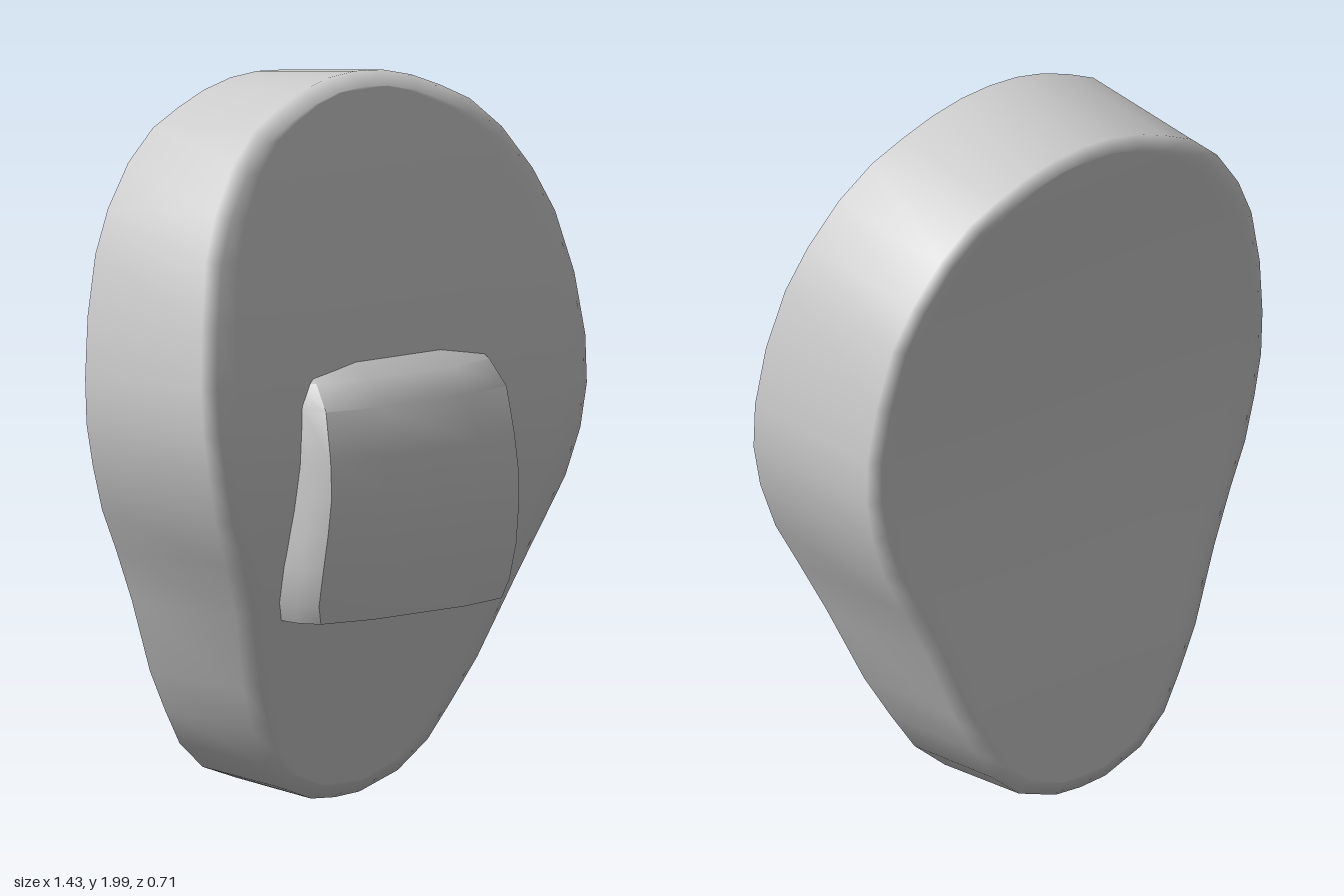
import * as THREE from 'three';
import { mergeVertices, toCreasedNormals } from 'three/addons/utils/BufferGeometryUtils.js';

// Piecewise linear lookup in [key, value] pairs with rising keys
function lookup(table, k) {
  if (k <= table[0][0]) return table[0][1];
  for (let i = 1; i < table.length; i++) {
    const [k0, v0] = table[i - 1], [k1, v1] = table[i];
    if (k <= k1) return v0 + (v1 - v0) * (k - k0) / (k1 - k0);
  }
  return table[table.length - 1][1];
}

// Skin closed cross-sections listed from top to bottom
function loft(rows) {
  const n = rows[0].length, index = [];
  for (let i = 0; i < rows.length - 1; i++) {
    for (let j = 0; j < n; j++) {
      const a = i * n + j, b = i * n + (j + 1) % n;
      index.push(a, b, a + n, b, b + n, a + n);
    }
  }
  const g = new THREE.BufferGeometry();
  g.setAttribute('position', new THREE.Float32BufferAttribute(rows.flat(2), 3));
  g.setIndex(index);
  const merged = mergeVertices(g, 1e-4);
  merged.computeVertexNormals();
  return merged;
}

// Egg-shaped slab, bowed forward, with bevelled front and back rims
function bodyGeometry() {
  const half = [
    [0, 2], [0.1, 1.993], [0.2, 1.97], [0.3, 1.932], [0.4, 1.885], [0.5, 1.8], [0.59, 1.68],
    [0.65, 1.56], [0.693, 1.39], [0.715, 1.22], [0.713, 1.09], [0.69, 0.97], [0.65, 0.84],
    [0.59, 0.72], [0.52, 0.57], [0.435, 0.355], [0.37, 0.235], [0.31, 0.135], [0.22, 0.058],
    [0.09, 0.012], [0, 0.006],
  ];
  const front = [
    [0, -0.015], [0.2, 0.042], [0.4, 0.1], [0.6, 0.155], [0.8, 0.2], [0.95, 0.222], [1.05, 0.226],
    [1.2, 0.218], [1.4, 0.195], [1.6, 0.158], [1.8, 0.115], [2, 0.068],
  ];
  const back = [
    [0, -0.345], [0.3, -0.325], [0.6, -0.3], [0.8, -0.282], [1, -0.273], [1.2, -0.278],
    [1.5, -0.303], [1.8, -0.34], [2, -0.362],
  ];
  const spread = [1, 0.9, 0.45, 0, -0.45, -0.9, -1];
  const last = half.length - 1, bevel = 0.04;
  const taper = (y) => 0.024 + 0.966 * y;

  return loft(half.map(([x, y], i) => {
    const p = half[Math.max(i - 1, 0)], q = half[Math.min(i + 1, last)];
    let nx = p[1] - q[1], ny = q[0] - p[0];
    if (i === 0 || i === last) { nx = 0; ny = i ? -1 : 1; }
    const len = Math.hypot(nx, ny);
    const ix = Math.max(x - bevel * nx / len, 0), iy = y - bevel * ny / len;
    const zf = lookup(front, iy), zb = lookup(back, taper(iy));
    const rimF = lookup(front, y) - 0.022, rimB = lookup(back, taper(y)) + 0.018;
    return [
      [x, y, rimF],
      ...spread.map((s) => [s * ix, iy, zf]),
      [-x, y, rimF],
      [-x, taper(y), rimB],
      ...spread.map((s) => [-s * ix, taper(iy), zb]),
      [x, taper(y), rimB],
    ];
  }));
}

// Raised pad on the lower front: [y, front z, half width]
function padGeometry() {
  const profile = [
    [1.25, 0.2, 0.33], [1.2, 0.268, 0.35], [1.13, 0.32, 0.365], [1, 0.345, 0.372],
    [0.9, 0.355, 0.378], [0.8, 0.348, 0.385], [0.7, 0.334, 0.39], [0.6, 0.312, 0.385],
    [0.548, 0.3, 0.365],
  ];
  const side = [[1, 0.09], [0.92, 0.035], [0.47, 0]];
  const inner = 0.08;
  const section = ([y, z, w]) => [
    [w, y, inner],
    ...side.map(([s, d]) => [s * w, y, z - d]),
    ...side.slice().reverse().map(([s, d]) => [-s * w, y, z - d]),
    [-w, y, inner],
  ];
  const rows = profile.map(section);
  // Underside runs back and up into the body
  rows.push(rows[rows.length - 1].map(([x]) => [x, 0.6, inner]));
  return toCreasedNormals(loft(rows), 0.75);
}

export function createModel() {
  const group = new THREE.Group();
  const material = new THREE.MeshStandardMaterial({ color: 0xcccccc });
  const add = (name, geometry) => {
    const mesh = new THREE.Mesh(geometry, material);
    mesh.name = name;
    group.add(mesh);
  };
  add('body', bodyGeometry());
  add('frontPad', padGeometry());
  return group;
}
